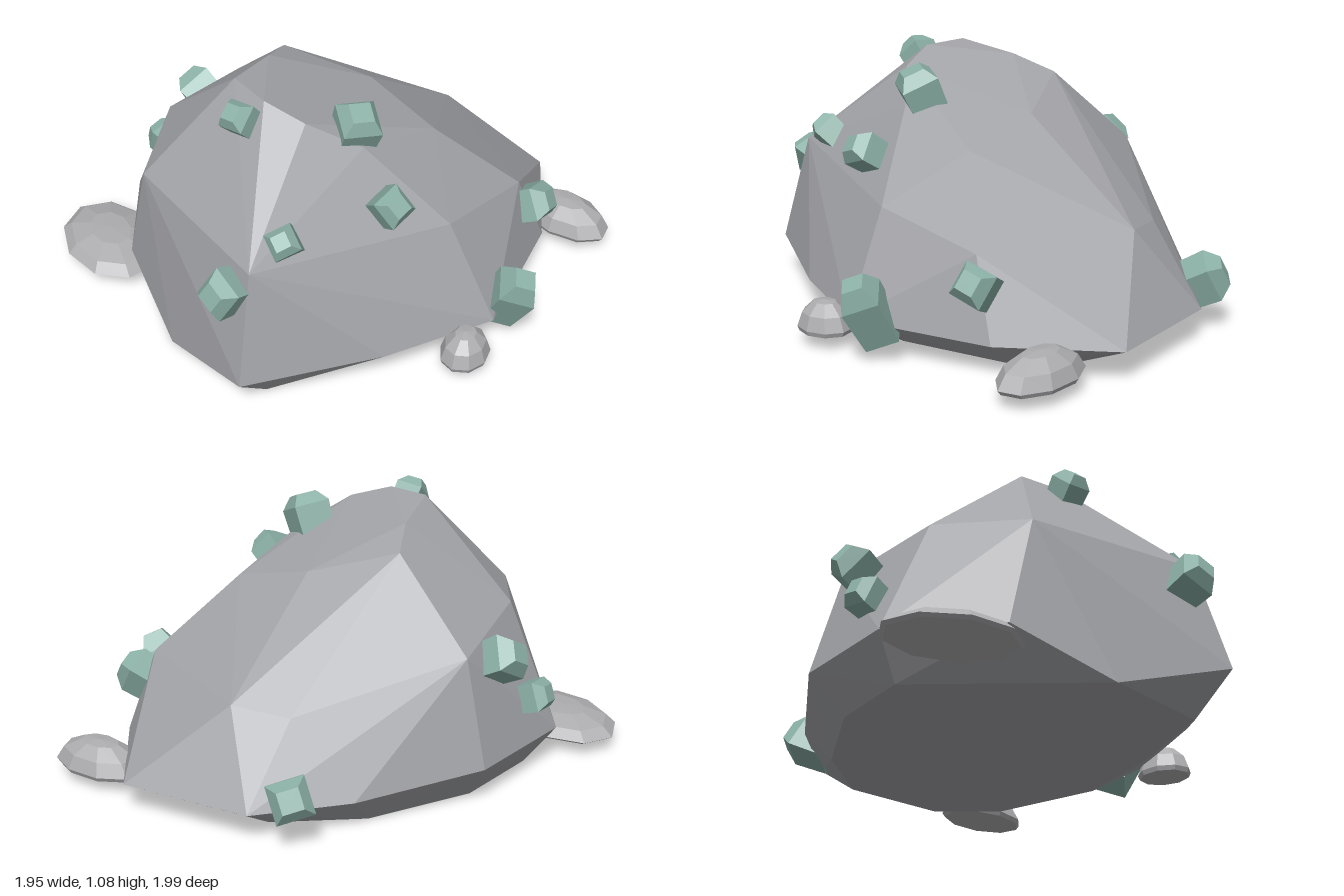
import * as THREE from 'three';
import { ConvexGeometry } from 'three/addons/geometries/ConvexGeometry.js';

const V = (x, y, z) => new THREE.Vector3(x, y, z);

export function createModel() {
  const group = new THREE.Group();
  const material = (name, color) => {
    const m = new THREE.MeshStandardMaterial({ color, flatShading: true });
    m.name = name;
    return m;
  };
  const stone = material('grey stone', 0xa2a3a7);
  const pale = material('pale stone', 0xadadb0);
  const green = material('green crystal', 0x8bb0a6);

  // Main boulder: faceted hull of base, rim, shoulder and crown corners
  const corners = [
    // base
    [-0.72, 0, 0.38], [-0.075, 0, 0.88], [0.4, 0, 0.78], [0.56, 0.01, 0.3], [0.62, 0.01, -0.1],
    [0.47, 0.015, -0.57], [0.24, 0.015, -0.74], [-0.22, 0.01, -0.7], [-0.5, 0, -0.42], [-0.7, 0, 0],
    // rim
    [-0.835, 0.17, 0.44], [-0.48, 0.175, 0.76], [0.445, 0.165, 0.955], [0.7, 0.15, 0.42],
    [0.855, 0.15, -0.05], [0.62, 0.14, -0.62], [0.28, 0.14, -1], [-0.27, 0.14, -0.89],
    [-0.545, 0.15, -0.57], [-0.82, 0.18, -0.08],
    // shoulders
    [-0.36, 0.645, 0.75], [0.385, 0.63, 0.835], [0.64, 0.555, 0], [0.575, 0.465, -0.49],
    [-0.05, 0.48, -0.72], [-0.27, 0.45, -0.62], [-0.6, 0.69, 0.415], [-0.7, 0.62, -0.05],
    // crown
    [-0.155, 1.06, 0.42], [0.035, 1.055, 0.435], [0.2, 1.0, 0.37], [0.35, 0.88, 0.2],
    [0.35, 0.77, -0.2], [0, 0.86, -0.18], [-0.23, 1.02, 0.175], [-0.317, 0.955, 0.016],
  ];
  const boulder = new THREE.Mesh(new ConvexGeometry(corners.map((p) => V(...p))), stone);
  boulder.name = 'boulder';
  group.add(boulder);

  // Square crystals with bevelled tips, pointing out of the rock
  const crystalShape = new THREE.LatheGeometry(
    [[0, -0.6], [0.66, -0.6], [0.72, 0.2], [0.4, 0.5], [0, 0.5]].map(([r, y]) => new THREE.Vector2(r, y)), 4);
  // position, direction, width, length, twist
  const crystals = [
    [[0, 1.0, 0.53], [0, 0.75, 0.66], 0.115, 0.14, 0.95],
    [[0.29, 0.95, 0.18], [0.4, 0.9, 0.1], 0.155, 0.17, 0.3],
    [[0.4, 0.7, 0.67], [0.4, 0.65, 0.6], 0.11, 0.12, 0.4],
    [[0.54, 0.715, 0.235], [0.8, 0.57, 0.2], 0.125, 0.15, 0.95],
    [[0.31, 0.53, 0.9], [0.1, 0.35, 0.93], 0.145, 0.16, 0.45],
    [[-0.75, 0.57, 0.13], [-0.85, 0.5, 0.1], 0.15, 0.18, 0.3],
    [[-0.81, 0.365, 0.3], [-0.9, 0.35, 0.15], 0.12, 0.13, 0.8],
    [[-0.4, 0.21, -0.785], [-0.55, 0.4, -0.65], 0.155, 0.19, 0.2],
    [[0.85, 0.23, -0.16], [0.5, 0.85, 0], 0.15, 0.26, 0],
    [[0.62, 0.36, -0.54], [0.8, 0.45, -0.35], 0.14, 0.17, 0.85],
  ];
  crystals.forEach(([position, direction, width, length, twist], i) => {
    const crystal = new THREE.Mesh(crystalShape, green);
    crystal.name = `crystal${i + 1}`;
    crystal.position.set(...position);
    crystal.quaternion.setFromUnitVectors(V(0, 1, 0), V(...direction).normalize());
    crystal.rotateY(twist);
    crystal.scale.set(width, length, width);
    group.add(crystal);
  });

  // Flat-bottomed stones tucked against the foot of the boulder
  const stoneShape = new THREE.LatheGeometry(
    [[0, 0], [0.93, 0], [1, 0.15], [0.82, 0.6], [0.42, 0.94], [0, 1]].map(([r, y]) => new THREE.Vector2(r, y)), 9);
  // position, radii and height, turn
  const stones = [
    [[-0.7, 0.06, 0.71], [0.28, 0.08, 0.2], -0.25],
    [[0.57, 0.06, -0.84], [0.215, 0.125, 0.13], 0.1],
    [[0.85, 0.06, 0.11], [0.1, 0.13, 0.12], 0.3],
  ];
  stones.forEach(([position, size, turn], i) => {
    const mesh = new THREE.Mesh(stoneShape, pale);
    mesh.name = `footStone${i + 1}`;
    mesh.position.set(...position);
    mesh.scale.set(...size);
    mesh.rotation.y = turn;
    group.add(mesh);
  });

  return group;
}
